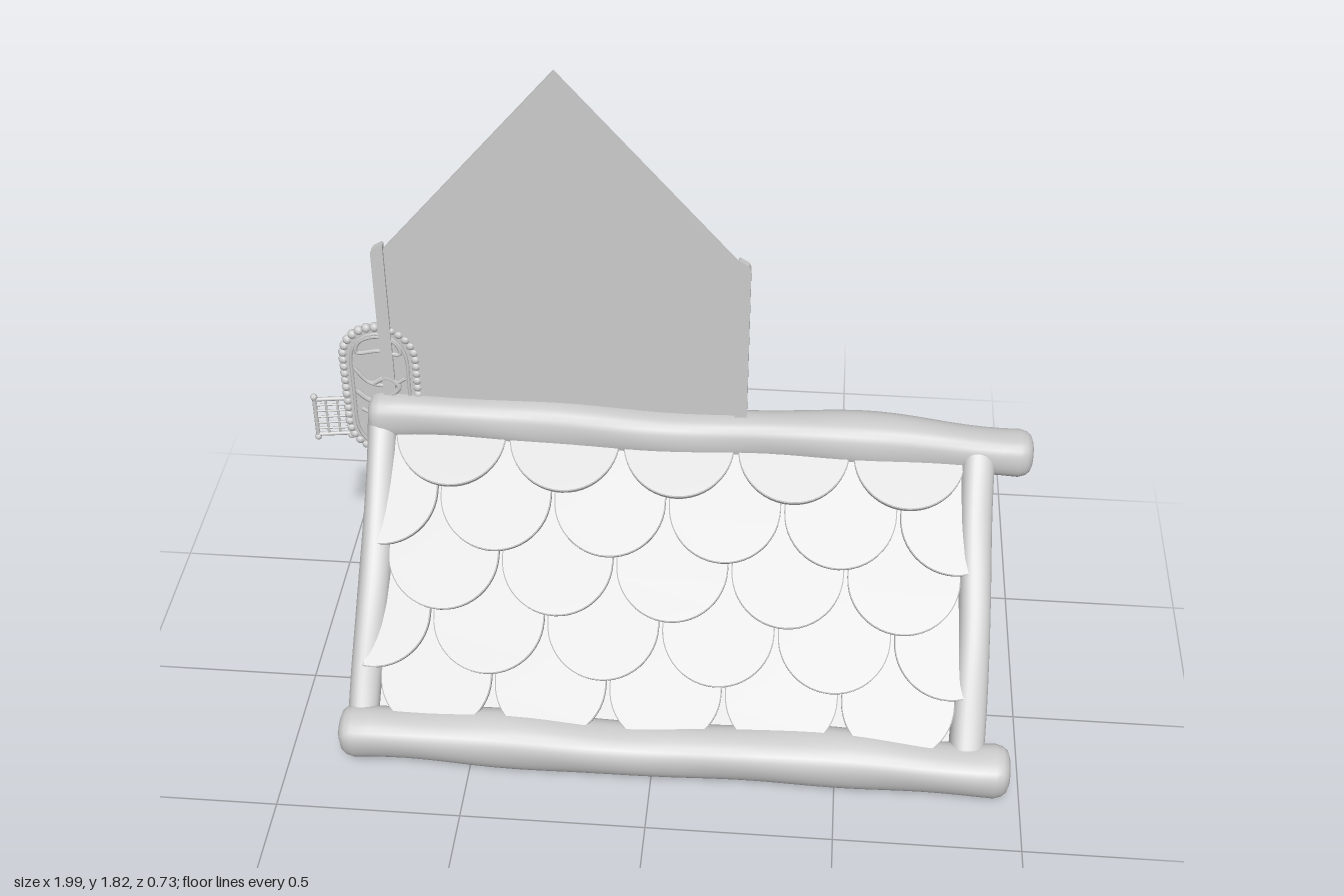
import * as THREE from 'three';
import { mergeVertices } from 'three/addons/utils/BufferGeometryUtils.js';

const mat = new THREE.MeshStandardMaterial({ color: 0xcccccc, side: THREE.DoubleSide });

function add(parent, geo, name, x = 0, y = 0, z = 0) {
  const m = new THREE.Mesh(geo, mat);
  m.name = name;
  m.position.set(x, y, z);
  parent.add(m);
  return m;
}

// Hand-hewn log along y: rounded-square section, blunt ends, wavy surface
function logGeometry(length, r, wave, phase, roll = 0) {
  const pts = [], h = length / 2, cap = r * 0.55;
  const end = [[0, 0], [0.5, 0.04], [0.75, 0.2], [0.9, 0.5]];
  for (const [a, b] of end) pts.push(new THREE.Vector2(a * r, -h + b * cap));
  for (let i = 0; i <= 36; i++) pts.push(new THREE.Vector2(r, -h + cap + (length - 2 * cap) * i / 36));
  for (const [a, b] of end.reverse()) pts.push(new THREE.Vector2(a * r, h - b * cap));
  const geo = new THREE.LatheGeometry(pts, 28);
  const p = geo.attributes.position;
  for (let i = 0; i < p.count; i++) {
    const x = p.getX(i), y = p.getY(i), z = p.getZ(i);
    const a = Math.atan2(z, x) + roll;
    const square = Math.pow(Math.cos(a) ** 4 + Math.sin(a) ** 4, -0.13);
    const s = square * (0.94 + wave * Math.cos(8 * y + phase) + wave * 0.4 * Math.sin(13 * y + 2 * a));
    p.setXYZ(i, x * s + 0.005 * Math.sin(6 * y + phase), y, z * s + 0.005 * Math.cos(7 * y));
  }
  geo.deleteAttribute('uv');
  geo.deleteAttribute('normal');
  const out = mergeVertices(geo, 1e-5);
  out.computeVertexNormals();
  return out;
}

// Round-ended shingle, trimmed at the sides and top of the roof
function shingleGeometry(cx, bottom) {
  const r = 0.15, top = Math.min(bottom + 0.34, 0.42);
  const clampX = (x) => THREE.MathUtils.clamp(x, -0.8, 0.85) - cx;
  const pts = [new THREE.Vector2(clampX(cx + r), 0), new THREE.Vector2(clampX(cx - r), 0)];
  for (let i = 0; i <= 24; i++) {
    const a = Math.PI + Math.PI * i / 24;
    pts.push(new THREE.Vector2(clampX(cx + r * Math.cos(a)), bottom + r + r * Math.sin(a) - top));
  }
  const geo = new THREE.ExtrudeGeometry(new THREE.Shape(pts), {
    depth: 0.016, bevelEnabled: true, bevelSize: 0.003, bevelThickness: 0.003, bevelSegments: 1,
  });
  geo.rotateX(-0.04 / (top - bottom));
  geo.translate(cx, top, -0.013);
  return geo;
}

function rod(parent, a, b, r, name) {
  const path = new THREE.LineCurve3(new THREE.Vector3(...a), new THREE.Vector3(...b));
  return add(parent, new THREE.TubeGeometry(path, 1, r, 8), name);
}

function makeRoof() {
  const roof = new THREE.Group();
  roof.name = 'slopedRoof';
  roof.position.set(0, 0.425, -0.003);
  roof.rotation.x = -0.709;
  add(roof, new THREE.BoxGeometry(1.66, 0.86, 0.02), 'roofBoard', 0.02, 0, -0.022);
  // Five staggered rows of shingles
  for (let row = 0; row < 5; row++) {
    const start = row % 2 ? -0.78 : -0.6;
    const count = row % 2 ? 6 : 5;
    for (let i = 0; i < count; i++) {
      add(roof, shingleGeometry(start + i * 0.315, 0.238 - row * 0.168), 'shingle');
    }
  }
  add(roof, logGeometry(0.88, 0.045, 0.04, 1, 0.3), 'rightSideLog', -0.795, 0, 0);
  add(roof, logGeometry(0.88, 0.048, 0.04, 2.5, 0.1), 'leftSideLog', 0.85, 0, 0);
  return roof;
}

// Gabled wall with a thin post at each side
function makeWall() {
  const wall = new THREE.Group();
  wall.name = 'gableWall';
  const gable = new THREE.Shape([[-0.755, 0.72], [0.185, 0.72], [0.185, 1.29], [-0.29, 1.83], [-0.755, 1.29]]
    .map(([x, y]) => new THREE.Vector2(x, y)));
  add(wall, new THREE.ExtrudeGeometry(gable, { depth: 0.01, bevelEnabled: false }), 'gablePanel', 0, 0, -0.303);
  for (const [x, side] of [[-0.755, -1], [0.178, 1]]) {
    const post = new THREE.Shape([[0, 0.72], [0.034, 0.72], [0.034, 1.28], [0.028, 1.293], [0.004, 1.308], [0, 1.304]]
      .map(([px, py]) => new THREE.Vector2(x + side * px, py)));
    add(wall, new THREE.ExtrudeGeometry(post, { depth: 0.02, bevelEnabled: false }), 'wallPost', 0, 0, -0.305);
  }
  return wall;
}

// Capsule-shaped window with beaded rim, curls and open slatted shutters
function makeWindow() {
  const win = new THREE.Group();
  win.name = 'beadedWindow';
  win.position.set(-0.795, 0.825, -0.3);
  const r = 0.1, h = 0.11;
  const outline = new THREE.Shape();
  outline.absarc(0, h, r, 0, Math.PI, false);
  outline.absarc(0, -h, r, Math.PI, 2 * Math.PI, false);
  outline.closePath();
  add(win, new THREE.ExtrudeGeometry(outline, { depth: 0.014, bevelEnabled: false, curveSegments: 20 }), 'windowPlate', 0, 0, -0.007);
  for (const p of outline.getSpacedPoints(46).slice(0, -1)) {
    add(win, new THREE.SphereGeometry(0.0135, 10, 8), 'rimBead', p.x, p.y, 0);
  }
  // Raised inner border and half-round light
  const loop = (pts, rad, name, closed) => {
    const c = new THREE.CatmullRomCurve3(pts.map(([x, y]) => new THREE.Vector3(x, y, 0.009)), closed);
    add(win, new THREE.TubeGeometry(c, 40, rad, 6, closed), name);
  };
  const border = outline.getSpacedPoints(24).slice(0, -1).map((p) => [p.x * 0.78, p.y * 0.92]);
  loop(border, 0.005, 'innerBorder', true);
  loop([[-0.06, 0.13], [-0.05, 0.165], [0, 0.185], [0.05, 0.165], [0.06, 0.13], [0, 0.138]], 0.006, 'upperLight', true);
  // Curled ornament
  loop([[-0.07, 0.075], [-0.03, 0.03], [0.03, 0.025], [0.07, 0.05]], 0.006, 'curl', false);
  loop([[-0.07, 0.0], [-0.03, -0.03], [0.02, -0.01], [0.05, 0.02], [0.02, 0.05], [-0.02, 0.03]], 0.008, 'curl', false);
  loop([[-0.06, -0.06], [0, -0.09], [0.06, -0.06]], 0.006, 'curl', false);
  // Shutters
  for (const s of [-1, 1]) {
    const shutter = new THREE.Group();
    shutter.name = s < 0 ? 'rightShutter' : 'leftShutter';
    shutter.position.set(s * 0.1, -0.095, 0);
    shutter.rotation.y = s < 0 ? 0.15 : -0.25;
    const w = s * 0.093;
    for (const x of [0, w]) {
      rod(shutter, [x, -0.068, 0], [x, 0.068, 0], 0.006, 'shutterPost');
      for (const y of [-0.068, 0.068]) add(shutter, new THREE.SphereGeometry(0.01, 10, 8), 'postKnob', x, y, 0);
    }
    for (let i = 0; i < 7; i++) {
      const y = -0.06 + i * 0.02;
      rod(shutter, [0, y, 0], [w, y, 0], i % 6 ? 0.0035 : 0.006, 'shutterSlat');
    }
    for (const t of [0.33, 0.67]) rod(shutter, [w * t, -0.06, 0], [w * t, 0.06, 0], 0.0035, 'shutterBar');
    win.add(shutter);
  }
  return win;
}

export function createModel() {
  const model = new THREE.Group();
  model.name = 'roofWithGable';
  model.add(makeRoof(), makeWall(), makeWindow());

  // Ridge and eave logs
  const ridge = add(model, logGeometry(1.83, 0.069, 0.07, 2.6), 'ridgeLog', 0.08, 0.742, -0.295);
  ridge.rotation.z = -Math.PI / 2 - 0.012;
  const eave = add(model, logGeometry(1.83, 0.075, 0.06, 3.2, 0.25), 'eaveLog', 0.055, 0.09, 0.285);
  eave.rotation.z = -Math.PI / 2;
  return model;
}
